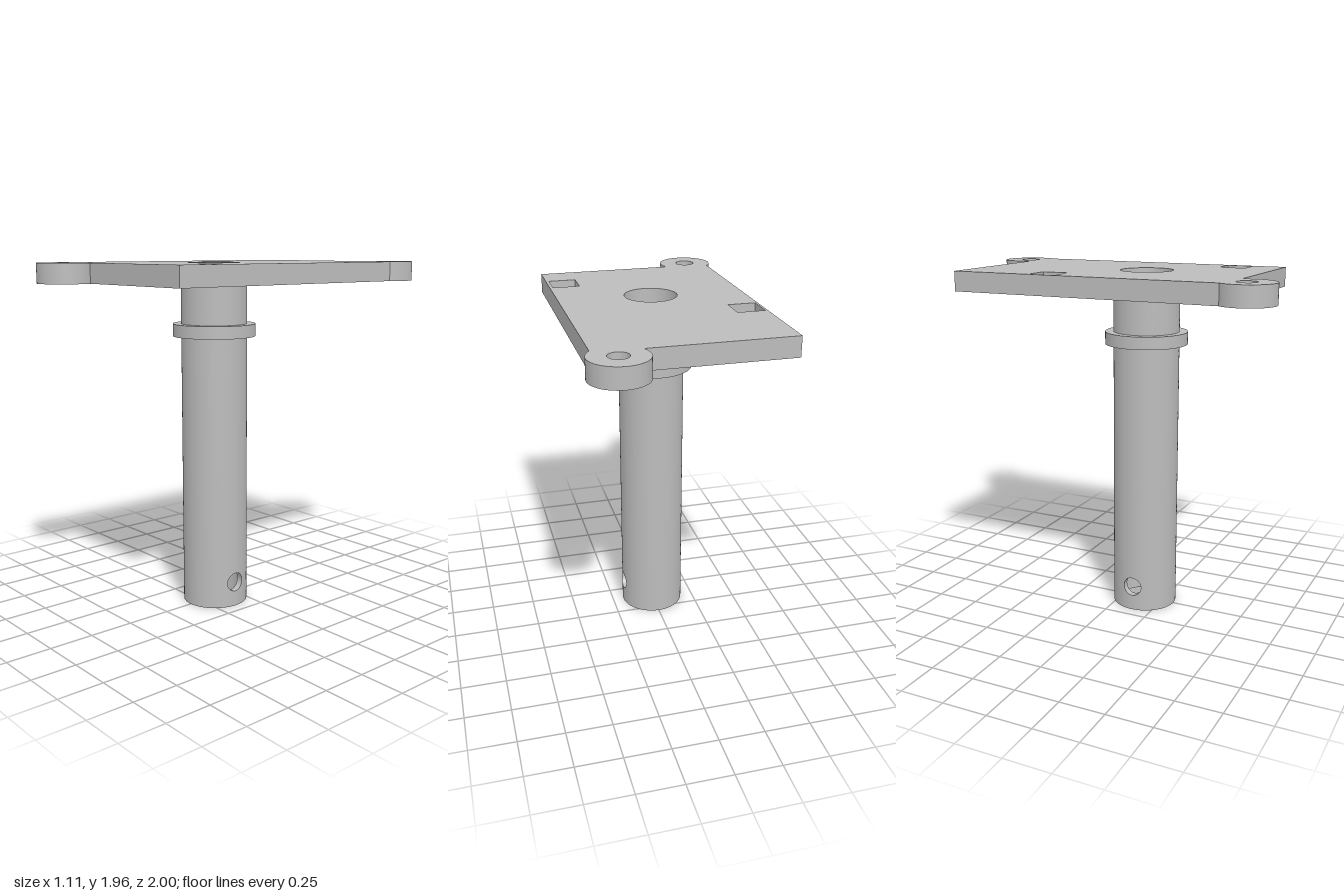
import * as THREE from 'three';
import { mergeGeometries, toCreasedNormals } from 'three/addons/utils/BufferGeometryUtils.js';
import { ParametricGeometry } from 'three/addons/geometries/ParametricGeometry.js';

const R_OUT = 0.185, R_IN = 0.147;             // post radii
const AXIS_Z = 0.14;                           // post axis
const PLATE_BOTTOM = 1.85, PLATE_TOP = 1.96;
const PIN_Y = 0.143, PIN_R = 0.054;            // cross hole near the foot
const SPLIT_Y = PIN_Y * 2;                     // top of the drilled section

// Revolves each profile segment separately so corners stay sharp
function turned(points) {
  const parts = [];
  for (let i = 0; i + 1 < points.length; i++) {
    const pair = [points[i], points[i + 1]].map(([r, y]) => new THREE.Vector2(r, y));
    parts.push(new THREE.LatheGeometry(pair, 64));
  }
  return mergeGeometries(parts);
}

// Walks evenly round a square of half-size 1, starting in the middle of the right side
function squarePoint(u) {
  const t = (u * 8 + 1) % 8, side = Math.floor(t / 2), k = (t % 2) - 1;
  return [[1, k], [-k, 1], [-1, -k], [k, -1]][side];
}

// Half of a cylinder wall with a round hole through its middle
function drilledWall(radius, side, inward) {
  return new ParametricGeometry((u, v, target) => {
    const w = inward ? 1 - u : u;
    const [sx, sy] = squarePoint(w);
    const t = Math.atan2(sy, sx);
    const holeAngle = Math.asin(PIN_R * Math.cos(t) / radius);
    const angle = THREE.MathUtils.lerp(holeAngle, sx * Math.PI / 2, v);
    const y = THREE.MathUtils.lerp(PIN_R * Math.sin(t), sy * PIN_Y, v) + PIN_Y;
    target.set(side * radius * Math.cos(angle), y, side * radius * Math.sin(angle));
  }, 128, 14);
}

// Lining of the cross hole between the inner and outer walls
function pinLining(side) {
  return new ParametricGeometry((u, v, target) => {
    const t = u * Math.PI * 2, z = PIN_R * Math.cos(t);
    const r = THREE.MathUtils.lerp(R_IN, R_OUT, v);
    target.set(side * Math.sqrt(r * r - z * z), PIN_Y + PIN_R * Math.sin(t), side * z);
  }, 64, 1);
}

function circleHole(x, z, r) {
  return new THREE.Path().absarc(x, z, r, 0, Math.PI * 2, true);
}

// Rectangle with a round ear on two opposite corners
function plateGeometry(pockets, pocketSize) {
  const hx = 0.516, hz = 0.776, ex = 0.4, ez = 0.847, er = 0.153;
  const shape = new THREE.Shape();
  const startAngle = Math.PI - Math.asin((ez - hz) / er);
  const endAngle = Math.acos((hx - ex) / er);
  shape.moveTo(-hx, -hz);
  for (const s of [1, -1]) {
    const turn = s > 0 ? 0 : Math.PI;
    shape.lineTo(s * (ex + er * Math.cos(startAngle)), -s * hz);
    shape.absarc(s * ex, -s * ez, er, startAngle + turn, endAngle + turn + Math.PI * 2, false);
    shape.lineTo(s * hx, s * hz);
    shape.holes.push(circleHole(s * ex, -s * ez, 0.054));
  }
  shape.holes.push(circleHole(0, AXIS_Z, R_IN));
  const h = pocketSize / 2;
  for (const [x, z] of pockets) {
    shape.holes.push(new THREE.Path([[-h, -h], [-h, h], [h, h], [h, -h]]
      .map(([dx, dz]) => new THREE.Vector2(x + dx, z + dz))));
  }
  const geometry = new THREE.ExtrudeGeometry(shape, {
    depth: PLATE_TOP - PLATE_BOTTOM, bevelEnabled: false, curveSegments: 32,
  });
  geometry.rotateX(Math.PI / 2);
  return toCreasedNormals(geometry, 0.5);
}

export function createModel() {
  const model = new THREE.Group();
  model.name = 'postMountedPlate';
  const grey = new THREE.MeshStandardMaterial({ color: 0xbcbcbc });
  grey.name = 'plain grey';

  const add = (parent, name, geometry, x = 0, y = 0, z = 0) => {
    const mesh = new THREE.Mesh(geometry, grey);
    mesh.name = name;
    mesh.position.set(x, y, z);
    parent.add(mesh);
  };

  // Top plate with two blind square pockets
  const pocketSize = 0.153, floor = 0.03;
  const pockets = [[-0.426, -0.237], [0.421, 0.512]];
  add(model, 'plate', plateGeometry(pockets, pocketSize), 0, PLATE_TOP, 0);
  for (const [x, z] of pockets) {
    add(model, 'pocketFloor', new THREE.BoxGeometry(pocketSize, floor, pocketSize),
      x, PLATE_BOTTOM + floor / 2, z);
  }

  // Hollow post
  const post = new THREE.Group();
  post.name = 'post';
  post.position.z = AXIS_Z;
  model.add(post);
  add(post, 'postOuterWall', turned([[R_OUT, SPLIT_Y], [R_OUT, PLATE_BOTTOM]]));
  add(post, 'postInnerWall', turned([[R_IN, PLATE_BOTTOM], [R_IN, SPLIT_Y]]));
  add(post, 'postFootRim', turned([[R_IN, 0], [R_OUT, 0]]));

  // Foot section drilled through from side to side
  for (const side of [1, -1]) {
    add(post, 'footOuterWall', drilledWall(R_OUT, side, false));
    add(post, 'footInnerWall', drilledWall(R_IN, side, true));
    add(post, 'pinHole', pinLining(side));
  }

  // Collar below the plate
  add(post, 'collar', turned([[R_OUT, 1.553], [0.232, 1.553], [0.232, 1.623], [R_OUT, 1.623]]));
  return model;
}
